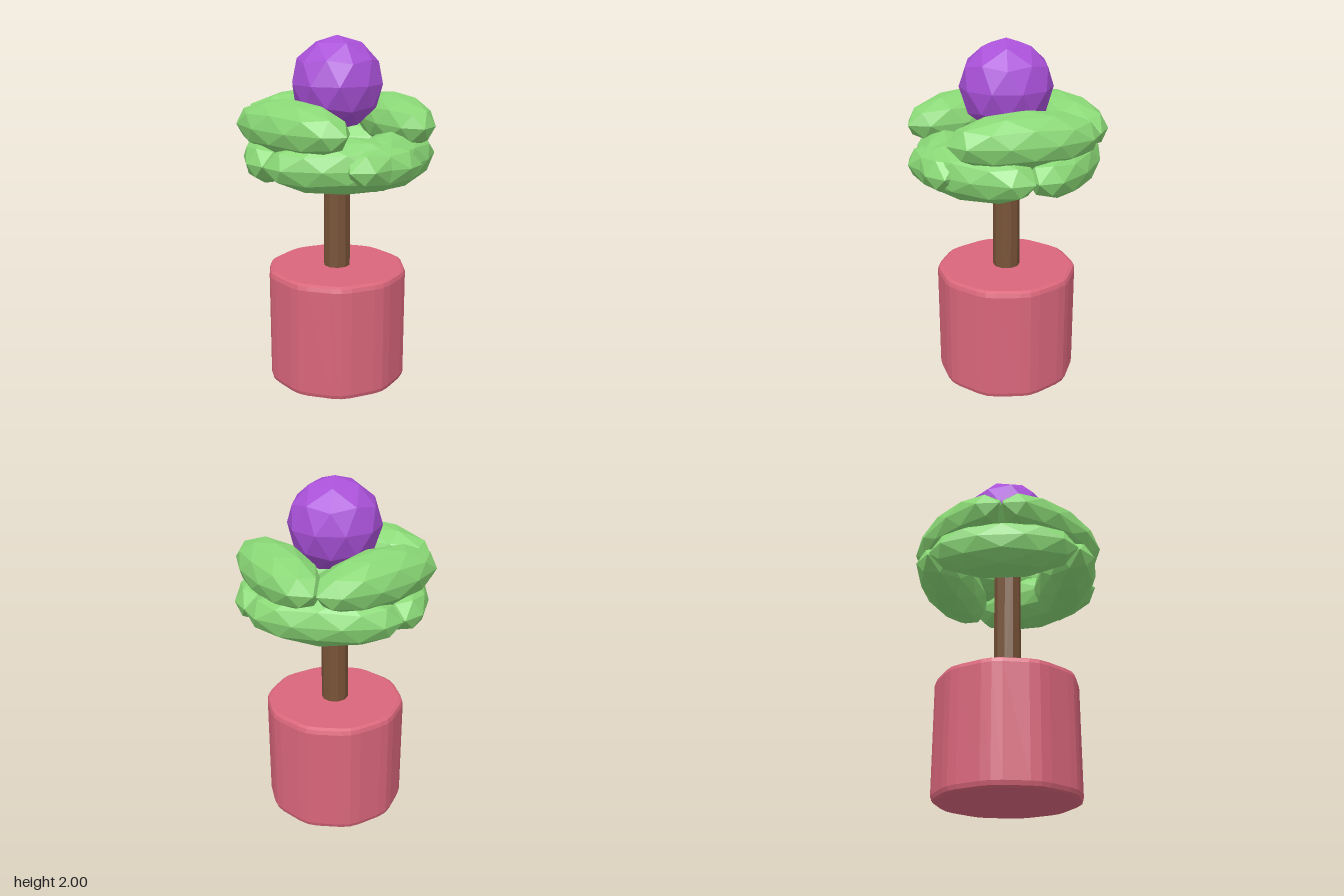
import * as THREE from 'three';

const mat = (name, color) => {
  const m = new THREE.MeshStandardMaterial({ color });
  m.name = name;
  return m;
};

// Faceted normals for a geometry
function faceted(geometry) {
  const g = geometry.index ? geometry.toNonIndexed() : geometry;
  g.computeVertexNormals();
  return g;
}

// Low-poly ball with a corner at the top, stretched to the given half sizes
function ball(rx, ry, rz) {
  const g = new THREE.IcosahedronGeometry(1, 1);
  g.rotateZ(Math.atan(2 / (1 + Math.sqrt(5))));
  g.scale(rx, ry, rz);
  return faceted(g);
}

// Regular polygon with a corner on the y axis and rounded corners
function roundedPolygon(sides, apothem, cut, steps) {
  const half = Math.PI / sides;
  const radius = (apothem * Math.tan(half) - cut) / Math.tan(half);
  const arc = apothem - radius;
  const points = [];
  for (let i = 0; i < sides; i++) {
    const a = Math.PI / 2 + i * 2 * half;
    for (let s = 0; s <= steps; s++) {
      const b = a + half * (2 * s / steps - 1);
      points.push(new THREE.Vector2(
        Math.cos(a) * radius / Math.cos(half) + Math.cos(b) * arc,
        Math.sin(a) * radius / Math.cos(half) + Math.sin(b) * arc));
    }
  }
  return new THREE.Shape(points);
}

export function createModel() {
  const model = new THREE.Group();
  model.name = 'pottedTree';
  const pink = mat('potPink', 0xd9667b);
  const brown = mat('trunkBrown', 0x785338);
  const green = mat('leafGreen', 0x8ad876);
  const purple = mat('blossomPurple', 0xa951d8);

  const add = (name, geometry, material, y = 0) => {
    const mesh = new THREE.Mesh(geometry, material);
    mesh.name = name;
    mesh.position.y = y;
    model.add(mesh);
    return mesh;
  };

  // Ten-sided pot with softened edges
  const bevel = 0.032;
  const pot = new THREE.ExtrudeGeometry(roundedPolygon(10, 0.396, 0.06, 2), {
    depth: 0.68 - 2 * bevel, bevelEnabled: true, bevelThickness: bevel,
    bevelSize: 0.025, bevelOffset: -0.025, bevelSegments: 2,
  });
  pot.rotateX(-Math.PI / 2);
  add('pot', faceted(pot), pink, bevel);

  // Trunk
  add('trunk', faceted(new THREE.CylinderGeometry(0.078, 0.078, 0.78, 10)), brown, 1.03);

  // Seven leaves around the trunk, alternating between two levels
  const leaf = ball(0.174, 0.155, 0.42);
  for (let i = 0; i < 7; i++) {
    const a = i * Math.PI * 2 / 7;
    const upper = i % 2 === 1;
    const mesh = add(upper ? 'upperLeaf' : 'lowerLeaf', leaf, green, upper ? 1.525 : 1.342);
    mesh.position.x = 0.345 * Math.cos(a);
    mesh.position.z = -0.345 * Math.sin(a);
    mesh.rotation.y = a;
  }

  // Round blossom on top
  add('blossom', ball(0.26, 0.26, 0.26), purple, 1.74);

  return model;
}
